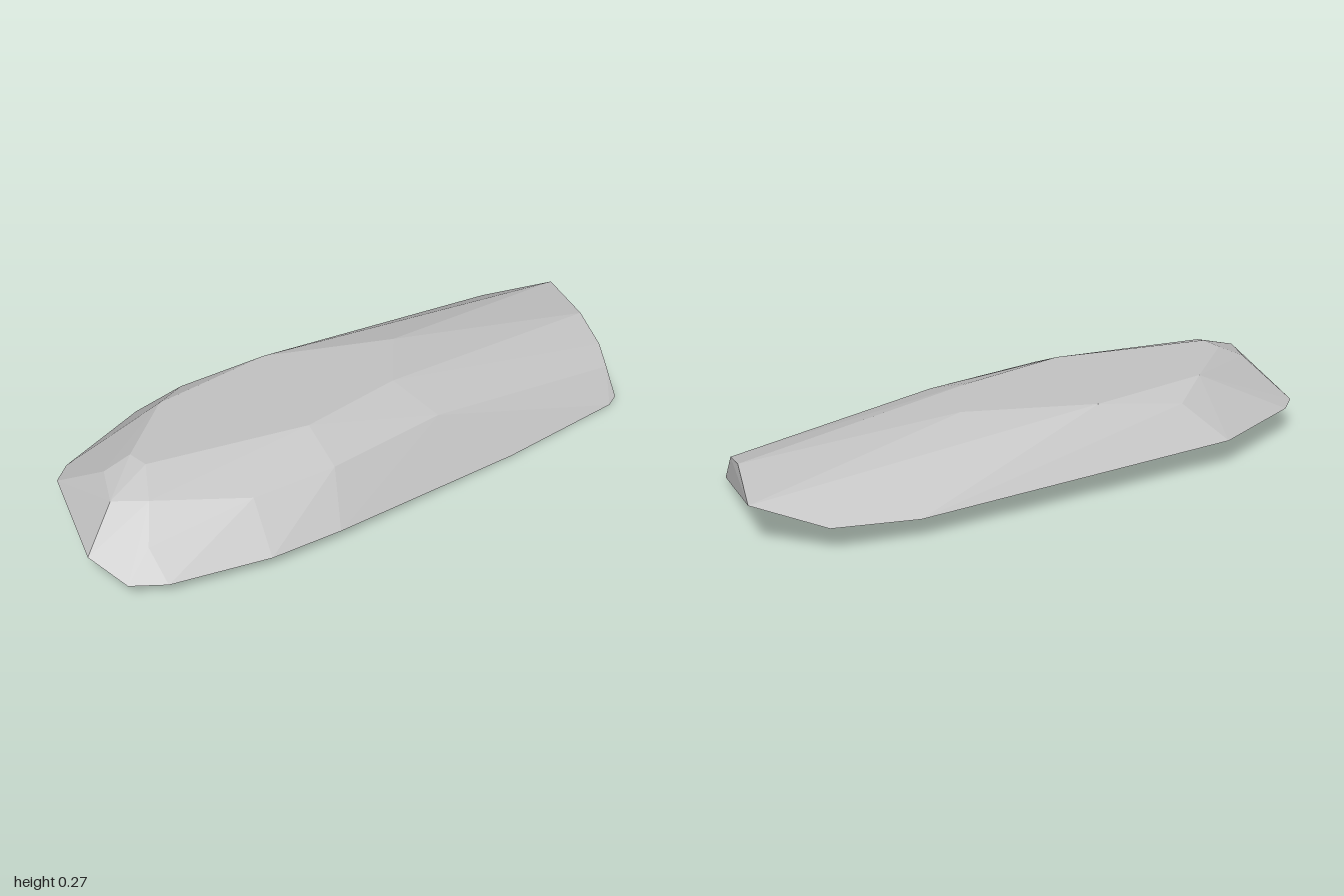
import * as THREE from 'three';
import { ConvexGeometry } from 'three/addons/geometries/ConvexGeometry.js';

// Corner rings of the faceted slab, each corner as [x, y, z]
const base = [
  [-0.91, 0.05, 0.49], [-0.79, 0.045, 0.525], [-0.45, 0.045, 0.525], [-0.2, 0.042, 0.48],
  [0.5, 0.004, 0.285], [0.95, 0, 0.145], [0.77, 0.095, -0.53], [0.48, 0.077, -0.515],
  [-0.64, 0.104, -0.3], [-0.94, 0.103, -0.1],
];
const leftTip = [[-1, 0.1, 0.37], [-0.99, 0.105, -0.03]];
const shoulder = [
  [-0.82, 0.13, 0.43], [-0.46, 0.19, 0.39], [-0.17, 0.2, 0.35], [0.25, 0.2, 0.22],
  [-0.78, 0.225, 0.325], [-0.89, 0.215, 0.27], [-0.87, 0.225, 0.13], [-0.5, 0.225, -0.22],
];
const crown = [
  [-0.75, 0.27, 0.2], [-0.78, 0.268, 0.13], [-0.2, 0.27, 0.2], [-0.61, 0.268, -0.1],
  [-0.2, 0.265, -0.23], [0.25, 0.265, -0.16], [0.15, 0.268, 0.07],
];
const rightEnd = [
  [0.985, 0.01, 0.12], [0.98, 0.095, 0.05], [0.985, 0.145, -0.02],
  [0.985, 0.185, -0.17], [1, 0.16, -0.43],
];

export function createModel() {
  const stone = new THREE.MeshStandardMaterial({ color: 0xc4c4c4 });
  stone.name = 'light grey stone';

  // Faceted slab wrapped around the corner rings
  const corners = [...base, ...leftTip, ...shoulder, ...crown, ...rightEnd]
    .map((p) => new THREE.Vector3(...p));
  const rock = new THREE.Mesh(new ConvexGeometry(corners), stone);
  rock.name = 'flatRock';

  const model = new THREE.Group();
  model.name = 'rock';
  model.add(rock);
  return model;
}
